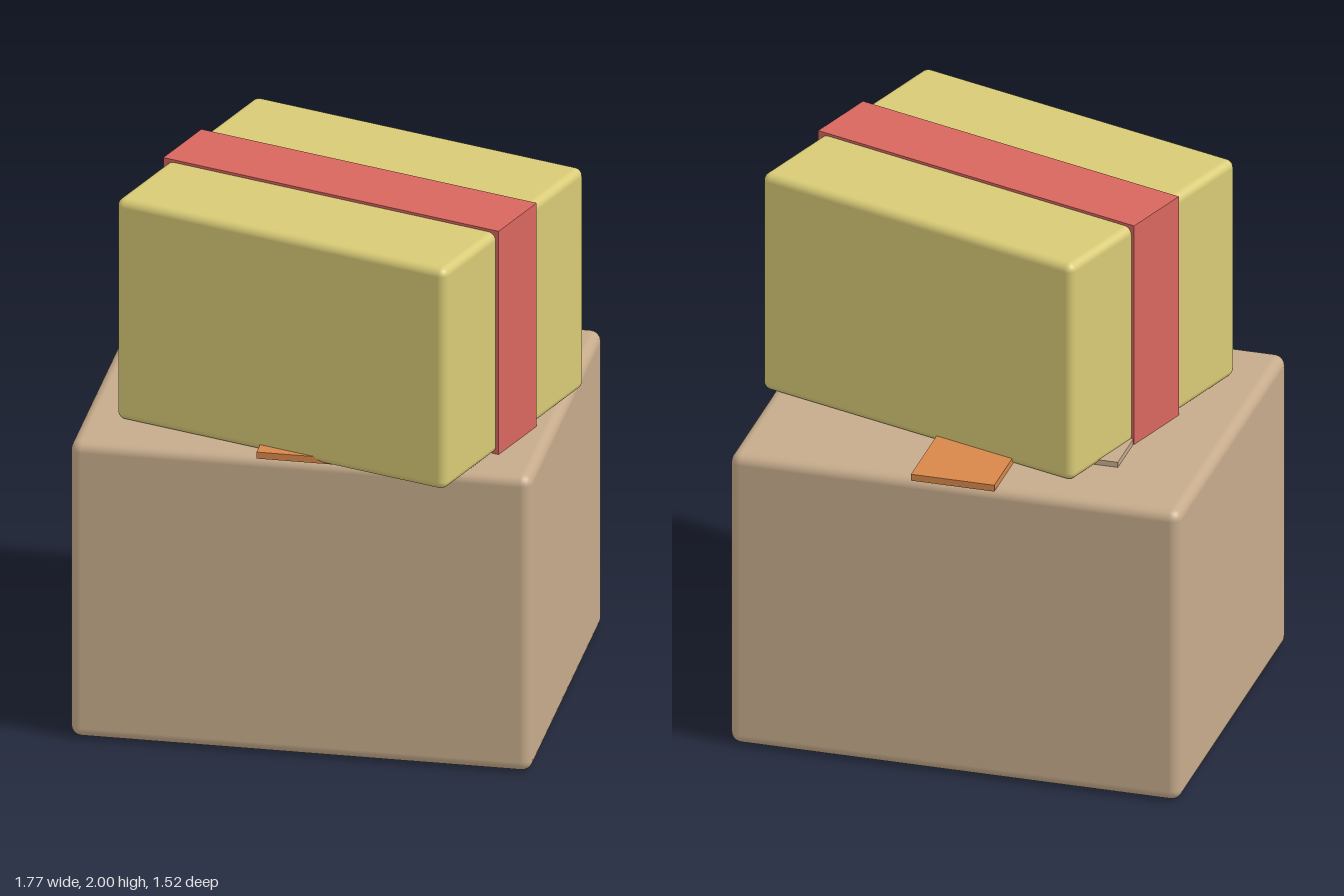
import * as THREE from 'three';
import { RoundedBoxGeometry } from 'three/addons/geometries/RoundedBoxGeometry.js';

const mat = (name, color) => {
  const m = new THREE.MeshStandardMaterial({ color });
  m.name = name;
  return m;
};

// Place a box by its bottom and top heights, rounded when a radius is given
function addBox(parent, name, material, w, d, bottom, top, radius = 0, x = 0, z = 0) {
  const h = top - bottom;
  const geometry = radius
    ? new RoundedBoxGeometry(w, h, d, 3, radius)
    : new THREE.BoxGeometry(w, h, d);
  const mesh = new THREE.Mesh(geometry, material);
  mesh.name = name;
  mesh.position.set(x, (bottom + top) / 2, z);
  parent.add(mesh);
}

// A parcel is a group turned about the vertical axis
function addParcel(parent, name, x, z, angle) {
  const parcel = new THREE.Group();
  parcel.name = name;
  parcel.position.set(x, 0, z);
  parcel.rotation.y = angle;
  parent.add(parcel);
  return parcel;
}

export function createModel() {
  const cardboard = mat('cardboard', 0xc6ab8b);
  const yellow = mat('yellow card', 0xd8ca76);
  const red = mat('red ribbon', 0xd8665f);
  const orange = mat('orange tape', 0xd8874a);

  const model = new THREE.Group();
  model.name = 'parcelStack';

  // Large lower parcel with tape overhanging its front and back edges
  const lower = addParcel(model, 'lowerParcel', 0, -0.024, 0.1);
  addBox(lower, 'lowerBox', cardboard, 1.655, 1.335, 0, 1.14, 0.04);
  addBox(lower, 'tape', orange, 0.306, 1.37, 1.141, 1.166);

  // Small card flap tucked under the upper parcel
  addBox(lower, 'cardFlap', cardboard, 0.28, 0.28, 1.135, 1.16, 0, -0.375, -0.236);

  // Smaller upper parcel with a ribbon over the top and down both sides
  const upper = addParcel(model, 'upperParcel', 0.094, 0.118, -0.207);
  addBox(upper, 'upperBox', yellow, 1.32, 1.035, 1.14, 1.99, 0.03);
  addBox(upper, 'ribbon', red, 1.344, 0.281, 1.137, 2);

  return model;
}
